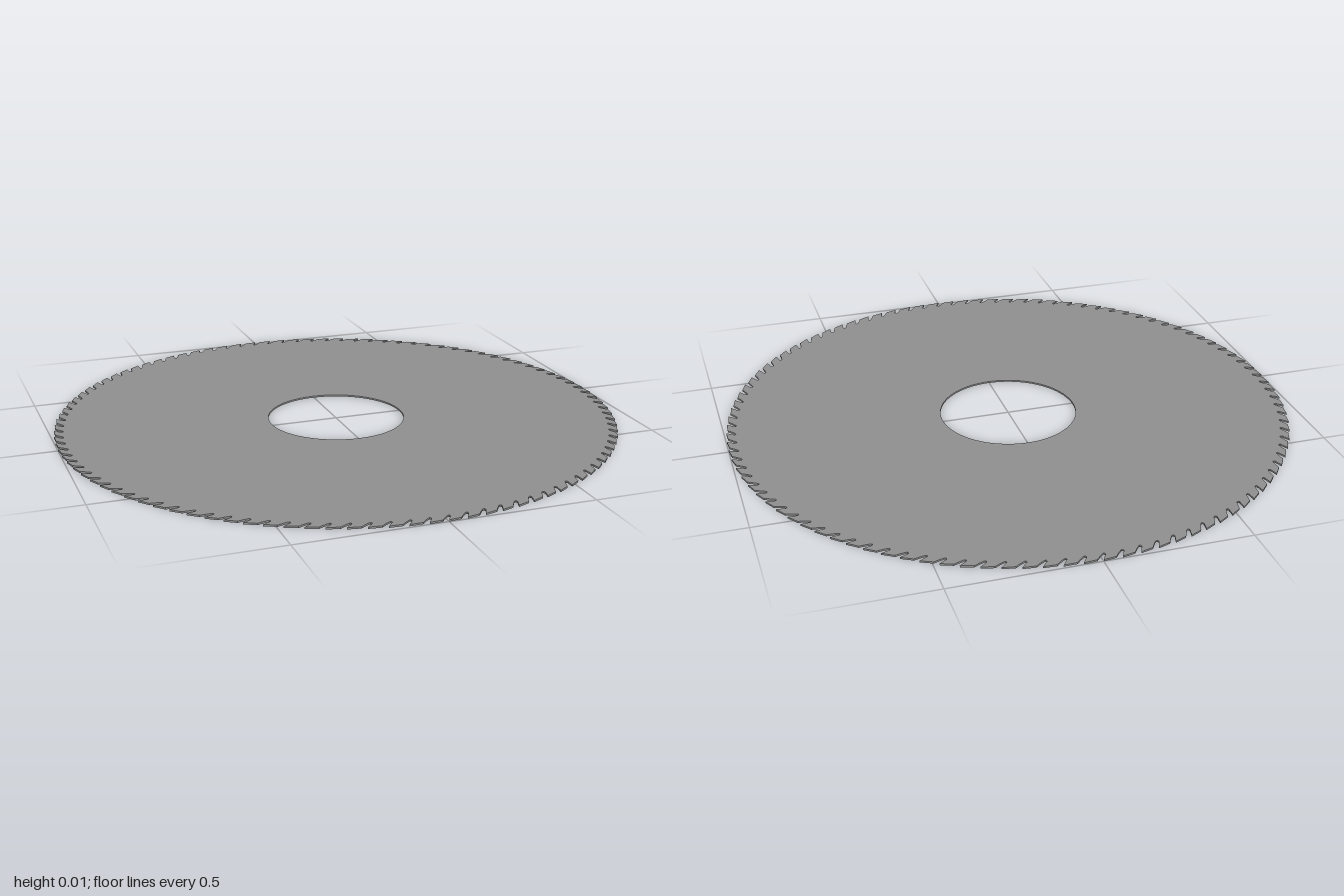
import * as THREE from 'three';

const TEETH = 100;
const THICKNESS = 0.006;
const BORE = 0.243;

// One tooth pitch going clockwise from the tip: [share of the pitch, radius]
const TOOTH = [
  [0, 1],          // cutting tip
  [-0.14, 0.985],  // hooked front face
  [-0.26, 0.973],
  [-0.25, 0.968],  // rounded gullet
  [-0.18, 0.966],
  [-0.1, 0.969],
  [0.1, 0.981],    // sloping back
  [0.3, 0.995],    // heel of the next tooth
];

export function createModel() {
  const group = new THREE.Group();
  group.name = 'sawBlade';

  // Toothed outline, all teeth leaning clockwise as seen from above
  const outline = [];
  for (let i = 0; i < TEETH; i++) {
    for (const [s, r] of TOOTH) {
      const a = -((i + s) / TEETH) * Math.PI * 2;
      outline.push(new THREE.Vector2(r * Math.cos(a), r * Math.sin(a)));
    }
  }
  const shape = new THREE.Shape(outline);

  // Round arbor hole
  const hole = new THREE.Path();
  hole.absarc(0, 0, BORE, 0, Math.PI * 2, false);
  shape.holes.push(hole);

  const geometry = new THREE.ExtrudeGeometry(shape, {
    depth: THICKNESS,
    bevelEnabled: false,
    curveSegments: 64,
  });
  geometry.rotateX(-Math.PI / 2);

  // Dark steel disc
  const blade = new THREE.Mesh(geometry, new THREE.MeshStandardMaterial({ color: 0x8f8f8f }));
  blade.name = 'toothedDisc';
  group.add(blade);
  return group;
}
